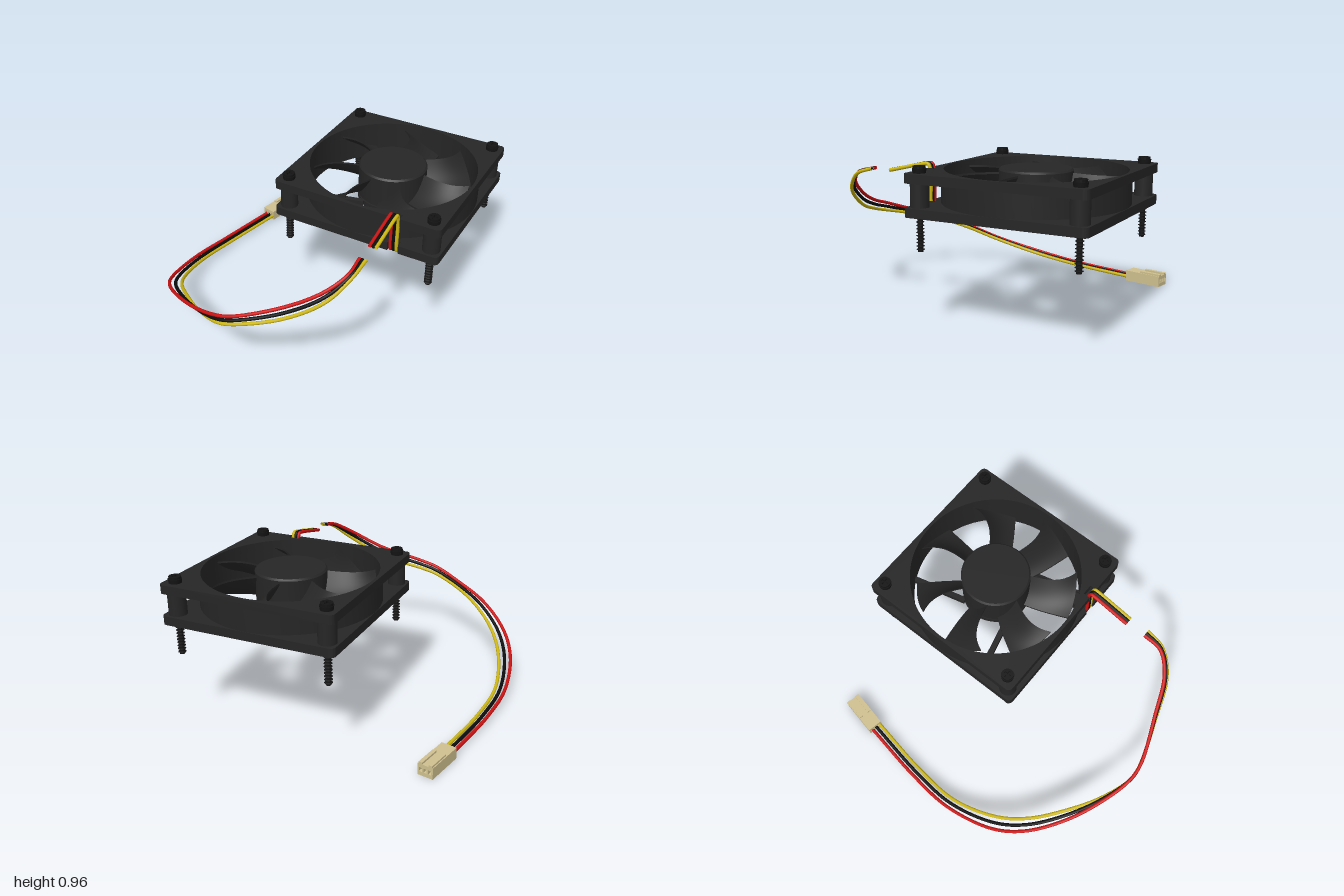
import * as THREE from 'three';
import { toCreasedNormals } from 'three/addons/utils/BufferGeometryUtils.js';

const mat = (color, side = THREE.FrontSide) => new THREE.MeshStandardMaterial({ color, side });
const plastic = mat(0x262626);
const steel = mat(0x141414);
const tan = mat(0xcfc08f);
const wireMats = [mat(0xcc1212, THREE.DoubleSide), mat(0x0c0c0c, THREE.DoubleSide), mat(0xccb612, THREE.DoubleSide)];
const wireNames = ['redWire', 'blackWire', 'yellowWire'];
const V = (p) => new THREE.Vector3(...p);

function add(parent, name, geometry, material, x = 0, y = 0, z = 0) {
  const mesh = new THREE.Mesh(geometry, material);
  mesh.name = name;
  mesh.position.set(x, y, z);
  parent.add(mesh);
  return mesh;
}

// Extrudes a plan shape upward; shape y points to -z
function slab(shape, depth) {
  const g = new THREE.ExtrudeGeometry(shape, { depth, bevelEnabled: false, curveSegments: 48 });
  g.rotateX(-Math.PI / 2);
  return toCreasedNormals(g, 0.5);
}

function circlePath(r) {
  return new THREE.Path().absarc(0, 0, r, 0, Math.PI * 2, true);
}

// Square flange with rounded corners, round opening and a wire notch at the front
function flangeShape() {
  const h = 0.56, r = 0.03, s = new THREE.Shape();
  s.moveTo(-h + r, -h);
  s.lineTo(0.235, -h).lineTo(0.235, -h + 0.045).lineTo(0.305, -h + 0.045).lineTo(0.305, -h);
  s.lineTo(h - r, -h);
  s.absarc(h - r, -h + r, r, -Math.PI / 2, 0);
  s.absarc(h - r, h - r, r, 0, Math.PI / 2);
  s.absarc(-h + r, h - r, r, Math.PI / 2, Math.PI);
  s.absarc(-h + r, -h + r, r, Math.PI, Math.PI * 1.5);
  s.holes.push(circlePath(0.54));
  return s;
}

function makeFrame() {
  const frame = new THREE.Group();
  frame.name = 'frame';
  add(frame, 'lowerFlange', slab(flangeShape(), 0.055), plastic);
  add(frame, 'upperFlange', slab(flangeShape(), 0.055), plastic, 0, 0.195, 0);
  const ring = new THREE.Shape().absarc(0, 0, 0.558, 0, Math.PI * 2);
  ring.holes.push(circlePath(0.54));
  add(frame, 'duct', slab(ring, 0.14), plastic, 0, 0.055, 0);
  for (const x of [-0.49, 0.49]) for (const z of [-0.49, 0.49])
    add(frame, 'cornerPost', new THREE.CylinderGeometry(0.055, 0.055, 0.14, 24), plastic, x, 0.125, z);

  // Offset struts holding the motor base; the front one is wide and carries the wires
  add(frame, 'motorBase', new THREE.CylinderGeometry(0.22, 0.22, 0.035, 48), plastic, 0, 0.018, 0);
  for (let i = 0; i < 4; i++) {
    const arm = new THREE.Group();
    arm.name = 'strut';
    arm.rotation.y = -i * Math.PI / 2;
    const wide = i === 1;
    const bar = add(arm, 'strutBar', new THREE.BoxGeometry(0.44, 0.03, wide ? 0.1 : 0.035), plastic, 0.325, 0.02, -0.24);
    bar.rotation.y = 0.24;
    if (wide) for (const dz of [-0.045, 0.045]) {
      const lip = add(arm, 'strutLip', new THREE.BoxGeometry(0.42, 0.05, 0.012), plastic, 0.325 + dz * 0.24, 0.028, -0.24 + dz);
      lip.rotation.y = 0.24;
    }
    frame.add(arm);
  }
  return frame;
}

// Quadratic through values at t = 0, 0.5 and 1
const quad = (a, b, c, t) => a + (4 * b - 3 * a - c) * t + 2 * (a + c - 2 * b) * t * t;

// Swept and twisted blade: a box remapped to radius, height and angle
function bladeGeometry() {
  const g = new THREE.BoxGeometry(1, 1, 1, 12, 1, 10);
  const p = g.attributes.position;
  for (let i = 0; i < p.count; i++) {
    const t = p.getX(i) + 0.5, v = p.getZ(i) + 0.5;
    const lead = quad(-102, -98, -106, t), trail = quad(-66, -72, -76, t);
    const a = THREE.MathUtils.degToRad(lead + (trail - lead) * v);
    const r = 0.205 + 0.308 * t;
    const top = 0.225 - 0.01 * t, low = 0.065 + 0.02 * t;
    const y = top + (low - top) * v - 0.02 * Math.sin(Math.PI * v) + p.getY(i) * 0.012;
    p.setXYZ(i, r * Math.cos(a), y, r * Math.sin(a));
  }
  g.computeVertexNormals();
  return g;
}

function makeRotor() {
  const rotor = new THREE.Group();
  rotor.name = 'rotor';
  const profile = [[0.2, 0.045], [0.22, 0.045], [0.22, 0.242], [0.21, 0.253], [0, 0.253]].map(([x, y]) => new THREE.Vector2(x, y));
  add(rotor, 'hub', toCreasedNormals(new THREE.LatheGeometry(profile, 64), 0.5), plastic);
  const blade = bladeGeometry();
  for (let i = 0; i < 7; i++) add(rotor, 'blade', blade, plastic).rotation.y = -i * Math.PI * 2 / 7;
  return rotor;
}

// Screw with cross recess head and ridged shank; y = 0 is under the head
function makeScrew() {
  const screw = new THREE.Group();
  screw.name = 'screw';
  const head = new THREE.Shape().absarc(0, 0, 0.036, 0, Math.PI * 2);
  const cross = new THREE.Path(), w = 0.006, l = 0.023;
  const corners = [[w, w], [w, l], [-w, l], [-w, w], [-l, w], [-l, -w], [-w, -w], [-w, -l], [w, -l], [w, -w], [l, -w], [l, w]];
  cross.setFromPoints(corners.map(([x, y]) => new THREE.Vector2(x, y)));
  cross.closePath();
  head.holes.push(cross);
  add(screw, 'screwHead', slab(head, 0.02), steel, 0, 0.02, 0);
  add(screw, 'headBase', new THREE.CylinderGeometry(0.041, 0.038, 0.026, 24), steel, 0, 0.013, 0);
  const pts = [new THREE.Vector2(0, -0.455)];
  for (let i = 0; i < 11; i++) {
    const y = -0.455 + i * 0.02;
    pts.push(new THREE.Vector2(0.016, y), new THREE.Vector2(0.016, y + 0.009), new THREE.Vector2(0.025, y + 0.0135), new THREE.Vector2(0.016, y + 0.018));
  }
  pts.push(new THREE.Vector2(0.016, 0));
  add(screw, 'threadedShank', toCreasedNormals(new THREE.LatheGeometry(pts, 16), 0.5), steel);
  return screw;
}

function wire(points) {
  return new THREE.TubeGeometry(new THREE.CatmullRomCurve3(points, false, 'centripetal'), 140, 0.011, 10);
}

function makeWires() {
  const wires = new THREE.Group();
  wires.name = 'wires';
  // Lead from the motor, up the notch and out over the front edge
  const lead = [[0.54, 0.667, -0.23], [0.6, 0.667, 0.05], [0.61, 0.68, 0.1], [0.61, 0.72, 0.107],
    [0.61, 0.91, 0.107], [0.61, 0.945, 0.122], [0.61, 0.945, 0.15], [0.61, 0.89, 0.4]];
  // Loose cable, outer strand and inner strand
  const outer = [[0.595, 0.892, 0.53], [0.59, 0.86, 0.66], [0.5, 0.78, 0.77], [0.3, 0.66, 0.865], [0.02, 0.555, 0.975],
    [-0.1, 0.52, 0.98], [-0.3, 0.45, 0.92], [-0.52, 0.375, 0.81], [-0.72, 0.265, 0.64], [-0.83, 0.17, 0.45],
    [-0.892, 0.085, 0.12], [-0.87, 0.045, -0.2], [-0.795, 0.028, -0.66]];
  const inner = [[0.632, 0.892, 0.53], [0.615, 0.85, 0.66], [0.52, 0.73, 0.785], [0.3, 0.585, 0.88], [0.02, 0.495, 0.975],
    [-0.08, 0.47, 0.98], [-0.28, 0.42, 0.9], [-0.47, 0.36, 0.77], [-0.64, 0.27, 0.61], [-0.75, 0.18, 0.43],
    [-0.828, 0.085, 0.12], [-0.81, 0.045, -0.2], [-0.735, 0.028, -0.65]];
  for (let i = 0; i < 3; i++) {
    const shift = (i - 1) * 0.02;
    add(wires, wireNames[i], wire(lead.map(([x, y, z]) => V([x + shift, y, z]))), wireMats[i]);
    add(wires, wireNames[i], wire(outer.map((p, k) => V(p).lerp(V(inner[k]), i / 2))), wireMats[i]);
  }
  return wires;
}

// Plug housing with three open sockets; its front points to -z
function makeConnector() {
  const plug = new THREE.Group();
  plug.name = 'connector';
  const rect = (s, x, y, w, h) => s.moveTo(x, y).lineTo(x + w, y).lineTo(x + w, y + h).lineTo(x, y + h).closePath();
  const body = rect(new THREE.Shape(), -0.05, 0, 0.1, 0.073);
  for (const x of [-0.03, 0, 0.03]) body.holes.push(rect(new THREE.Path(), x - 0.01, 0.024, 0.02, 0.026));
  add(plug, 'housing', new THREE.ExtrudeGeometry(body, { depth: 0.26, bevelEnabled: false }), tan, 0, 0, -0.13);
  add(plug, 'socketBack', new THREE.BoxGeometry(0.09, 0.04, 0.01), tan, 0, 0.037, 0.06);
  for (const x of [-0.032, 0.032])
    add(plug, 'guideRail', new THREE.BoxGeometry(0.024, 0.02, 0.15), tan, x, 0.075, -0.055);
  plug.position.set(-0.747, 0, -0.772);
  plug.rotation.y = -0.2;
  return plug;
}

export function createModel() {
  const model = new THREE.Group();
  model.name = 'coolingFan';
  const fan = new THREE.Group();
  fan.name = 'fan';
  fan.position.set(0.34, 0.675, -0.44);
  fan.add(makeFrame(), makeRotor());
  for (const x of [-0.49, 0.49]) for (const z of [-0.49, 0.49]) {
    const screw = makeScrew();
    screw.position.set(x, 0.25, z);
    fan.add(screw);
  }
  model.add(fan, makeWires(), makeConnector());
  return model;
}
